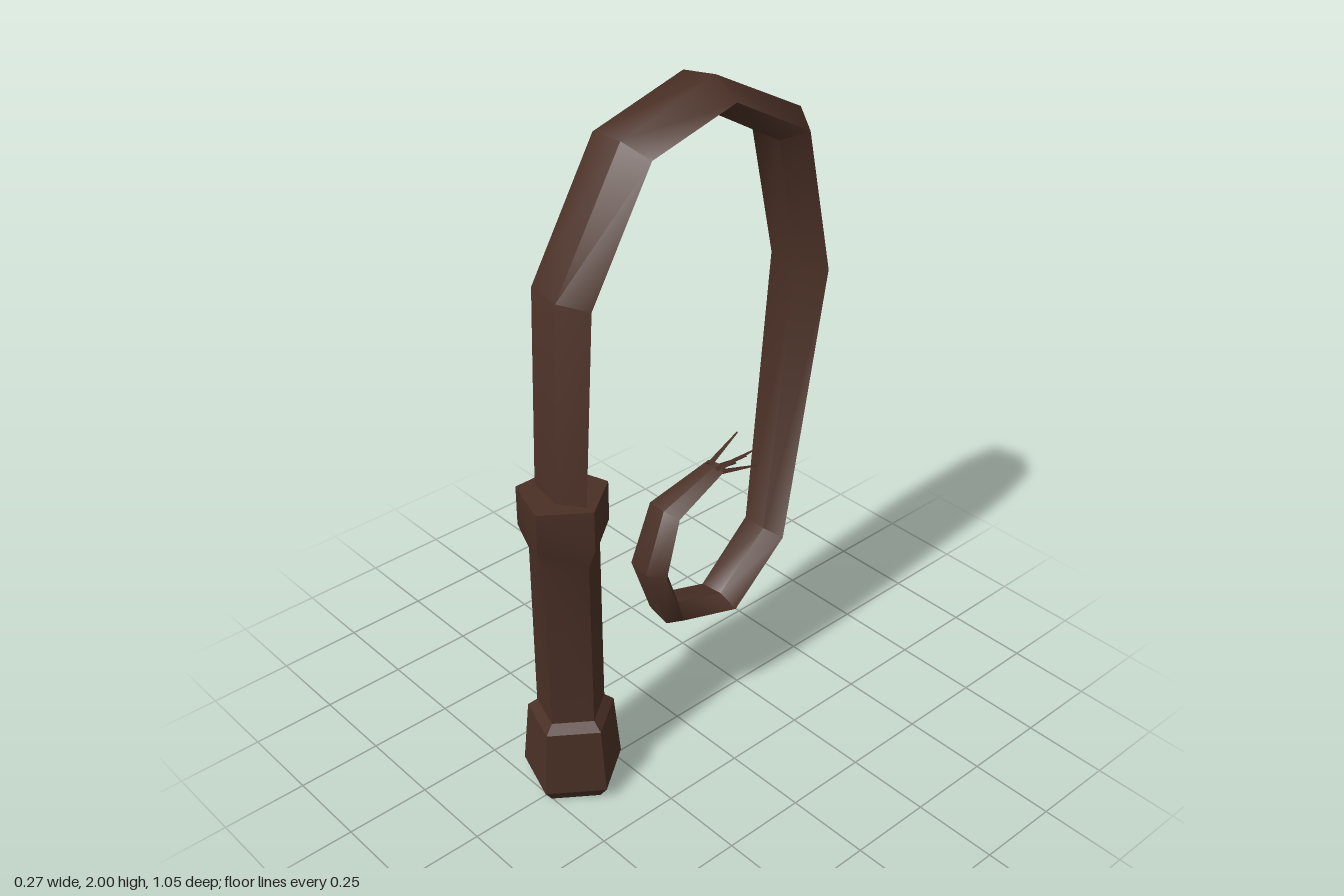
import * as THREE from 'three';
import { toCreasedNormals } from 'three/addons/utils/BufferGeometryUtils.js';

const SIDES = 5;
const CENTRE_X = -0.014;
const HANDLE_Z = 0.39;

// Strap stations: outer z, outer y, inner z, inner y, half width
const STATIONS = [
  [0.44, 0.95, 0.343, 0.95, 0.098],
  [0.415, 1.55, 0.31, 1.525, 0.107],
  [0.2, 1.91, 0.13, 1.835, 0.107],
  [-0.11, 2.0, -0.115, 1.895, 0.107],
  [-0.415, 1.84, -0.34, 1.765, 0.107],
  [-0.525, 1.38, -0.425, 1.37, 0.105],
  [-0.395, 0.5, -0.335, 0.54, 0.077],
  [-0.19, 0.315, -0.165, 0.385, 0.075],
  [0.05, 0.385, 0.005, 0.44, 0.073],
  [0.125, 0.59, 0.055, 0.585, 0.07],
  [0.055, 0.775, 0.01, 0.74, 0.06],
  [-0.16, 0.838, -0.15, 0.802, 0.036],
];

// Flattened five-sided tube joining the stations
function strapGeometry() {
  const positions = [];
  const index = [];
  for (const [oz, oy, iz, iy, width] of STATIONS) {
    for (let j = 0; j < SIDES; j++) {
      const a = (j / SIDES) * Math.PI * 2;
      const t = Math.sin(a) / Math.sin((Math.PI * 2) / SIDES);
      positions.push(
        CENTRE_X + width * Math.cos(a),
        (oy + iy) / 2 + ((oy - iy) / 2) * t,
        (oz + iz) / 2 + ((oz - iz) / 2) * t,
      );
    }
  }
  for (let i = 0; i < STATIONS.length - 1; i++) {
    for (let j = 0; j < SIDES; j++) {
      const a = i * SIDES + j;
      const b = i * SIDES + ((j + 1) % SIDES);
      index.push(a, a + SIDES, b, b, a + SIDES, b + SIDES);
    }
  }
  const last = (STATIONS.length - 1) * SIDES;
  for (let k = 1; k < SIDES - 1; k++) index.push(last, last + k + 1, last + k);
  const g = new THREE.BufferGeometry();
  g.setAttribute('position', new THREE.Float32BufferAttribute(positions, 3));
  g.setIndex(index);
  return toCreasedNormals(g, 0.9);
}

// Tapered strand between two points
function strand(from, to, material) {
  const dir = to.clone().sub(from);
  const g = new THREE.CylinderGeometry(0.003, 0.011, dir.length(), 4);
  const mesh = new THREE.Mesh(toCreasedNormals(g, 0.9), material);
  mesh.position.copy(from).add(to).multiplyScalar(0.5);
  mesh.quaternion.setFromUnitVectors(new THREE.Vector3(0, 1, 0), dir.normalize());
  return mesh;
}

export function createModel() {
  const leather = new THREE.MeshStandardMaterial({ color: 0x4a3026 });
  leather.name = 'dark brown leather';
  const model = new THREE.Group();
  model.name = 'whip';

  // Handle with a flared pommel and a collar
  const profile = [
    [0, 0], [0.118, 0], [0.147, 0.04], [0.128, 0.24], [0.1, 0.265],
    [0.1, 0.79], [0.128, 0.86], [0.128, 0.98], [0, 0.98],
  ].map(([r, y]) => new THREE.Vector2(r, y));
  const handle = new THREE.Mesh(
    toCreasedNormals(new THREE.LatheGeometry(profile, SIDES, Math.PI / 2), 0.6), leather);
  handle.name = 'handle';
  handle.position.set(CENTRE_X, 0, HANDLE_Z);
  model.add(handle);

  // Curling strap
  const strap = new THREE.Mesh(strapGeometry(), leather);
  strap.name = 'strap';
  model.add(strap);

  // Frayed tip
  const fringe = new THREE.Group();
  fringe.name = 'fringe';
  const ends = [
    [-0.045, 0.876, -0.273], [0.025, 0.848, -0.27], [-0.014, 0.806, -0.28],
    [0.03, 0.795, -0.28], [-0.05, 0.768, -0.273],
  ];
  ends.forEach(([x, y, z], i) => {
    const root = new THREE.Vector3(CENTRE_X + (x - CENTRE_X) * 0.4, 0.828 - i * 0.004, -0.145);
    const s = strand(root, new THREE.Vector3(x, y, z), leather);
    s.name = 'strand';
    fringe.add(s);
  });
  model.add(fringe);

  return model;
}
